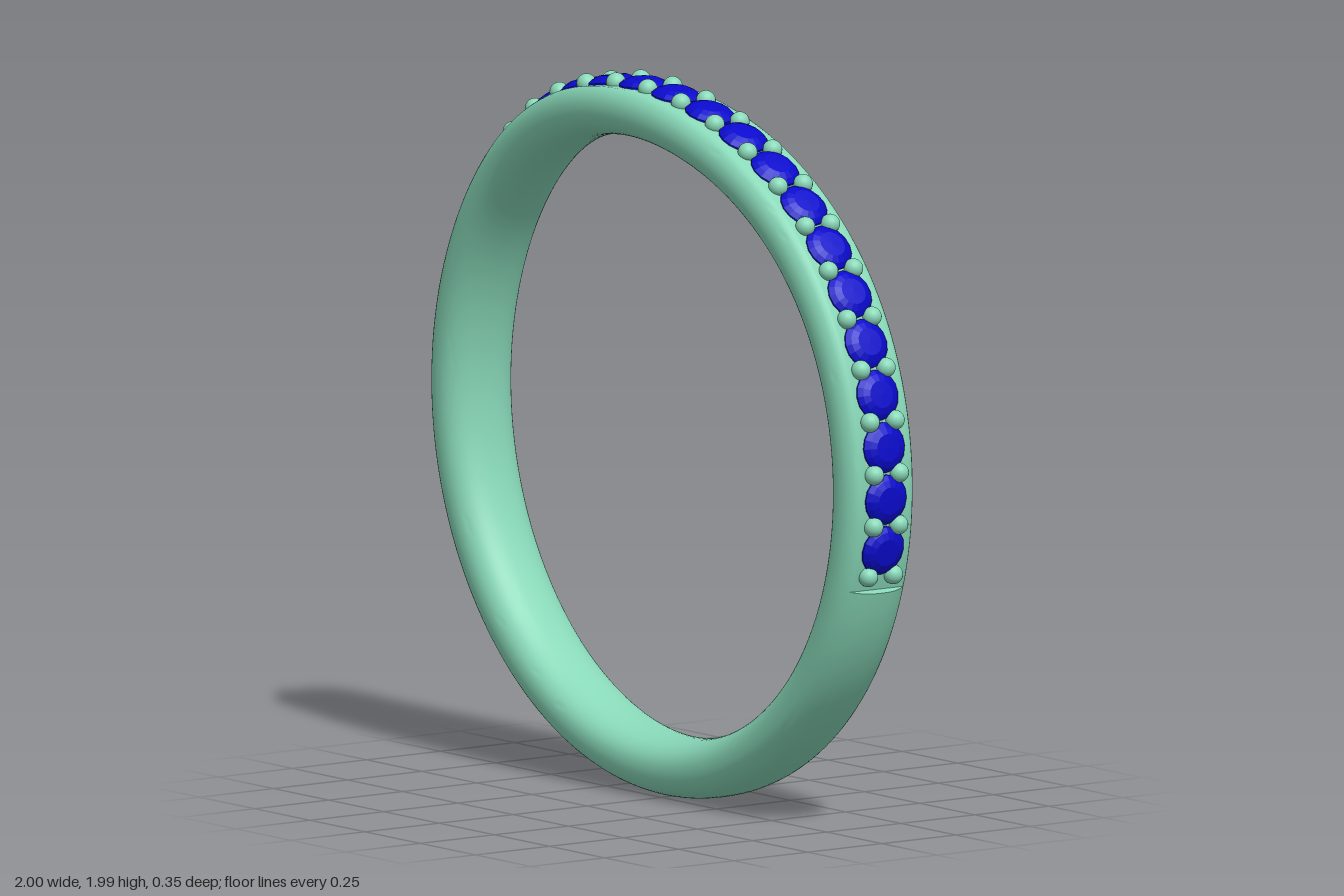
import * as THREE from 'three';
import { toCreasedNormals } from 'three/addons/utils/BufferGeometryUtils.js';

const CENTRE_Y = 0.99;
const MID_R = 0.909;              // middle radius of the band section
const HALF_T = 0.081;             // half thickness, radial
const SEAT_R = 0.966;             // radius of the flat seat under the stones
const SEAT_END = THREE.MathUtils.degToRad(108.6);
const STEP = THREE.MathUtils.degToRad(8.48);
const SIDE_STONES = 12;           // stones on each side of the top one

// Sideways sweep of the band; phi is the angle from the top
function sway(phi) {
  return -0.037 + 0.026 * Math.cos(phi) + 0.069 * Math.exp(-((phi / 0.7) ** 2));
}

function pointAt(phi, r, dz) {
  return new THREE.Vector3(Math.sin(phi) * r, CENTRE_Y + Math.cos(phi) * r, sway(phi) + dz);
}

// Rounded section swept round the finger, cut flat where the stones sit
function bandGeometry() {
  const stations = [];
  const add = (from, to, n, cut) => {
    for (let i = 0; i <= n; i++) stations.push([from + (to - from) * i / n, cut]);
  };
  add(-Math.PI, -SEAT_END, 40, false);
  add(-SEAT_END, SEAT_END, 120, true);
  add(SEAT_END, Math.PI, 40, false);

  const sides = 48, power = 2 / 2.3;
  const soft = v => Math.sign(v) * Math.abs(v) ** power;
  const positions = [], index = [];
  stations.forEach(([phi, cut], i) => {
    const halfWidth = 0.115 + 0.003 * Math.cos(phi);
    for (let j = 0; j <= sides; j++) {
      const t = (j % sides) / sides * Math.PI * 2;
      let r = MID_R + HALF_T * soft(Math.cos(t));
      if (cut) r = Math.min(r, SEAT_R);
      const p = pointAt(phi, r, halfWidth * soft(Math.sin(t)));
      positions.push(p.x, p.y, p.z);
      if (i < stations.length - 1 && j < sides) {
        const a = i * (sides + 1) + j, b = a + sides + 1;
        index.push(a, a + 1, b, a + 1, b + 1, b);
      }
    }
  });
  const geo = new THREE.BufferGeometry();
  geo.setAttribute('position', new THREE.Float32BufferAttribute(positions, 3));
  geo.setIndex(index);
  return toCreasedNormals(geo, 0.5);
}

export function createModel() {
  const ring = new THREE.Group();
  ring.name = 'ring';
  const metal = new THREE.MeshStandardMaterial({ color: 0x88d8b8 });
  const blue = new THREE.MeshStandardMaterial({ color: 0x0a0acc, flatShading: true });

  const band = new THREE.Mesh(bandGeometry(), metal);
  band.name = 'band';
  ring.add(band);

  // Round cut stone: pavilion, girdle, crown and table
  const profile = [[0, -0.05], [0.069, -0.004], [0.069, 0.004], [0.056, 0.015], [0.038, 0.023], [0, 0.024]]
    .map(([x, y]) => new THREE.Vector2(x, y));
  const stoneGeo = new THREE.LatheGeometry(profile, 16);
  const stones = new THREE.Group();
  stones.name = 'stones';
  for (let i = -SIDE_STONES; i <= SIDE_STONES; i++) {
    const stone = new THREE.Mesh(stoneGeo, blue);
    stone.name = 'stone';
    stone.position.copy(pointAt(i * STEP, SEAT_R, 0));
    stone.rotation.z = -i * STEP;
    stones.add(stone);
  }
  ring.add(stones);

  // Pairs of bead prongs between the stones and at both ends
  const beadGeo = new THREE.SphereGeometry(0.027, 20, 14);
  const prongs = new THREE.Group();
  prongs.name = 'prongs';
  for (let i = -SIDE_STONES - 0.5; i <= SIDE_STONES + 0.5; i++) {
    for (const side of [-1, 1]) {
      const bead = new THREE.Mesh(beadGeo, metal);
      bead.name = 'prong';
      bead.position.copy(pointAt(i * STEP, 0.973, side * 0.042));
      prongs.add(bead);
    }
  }
  ring.add(prongs);
  return ring;
}
